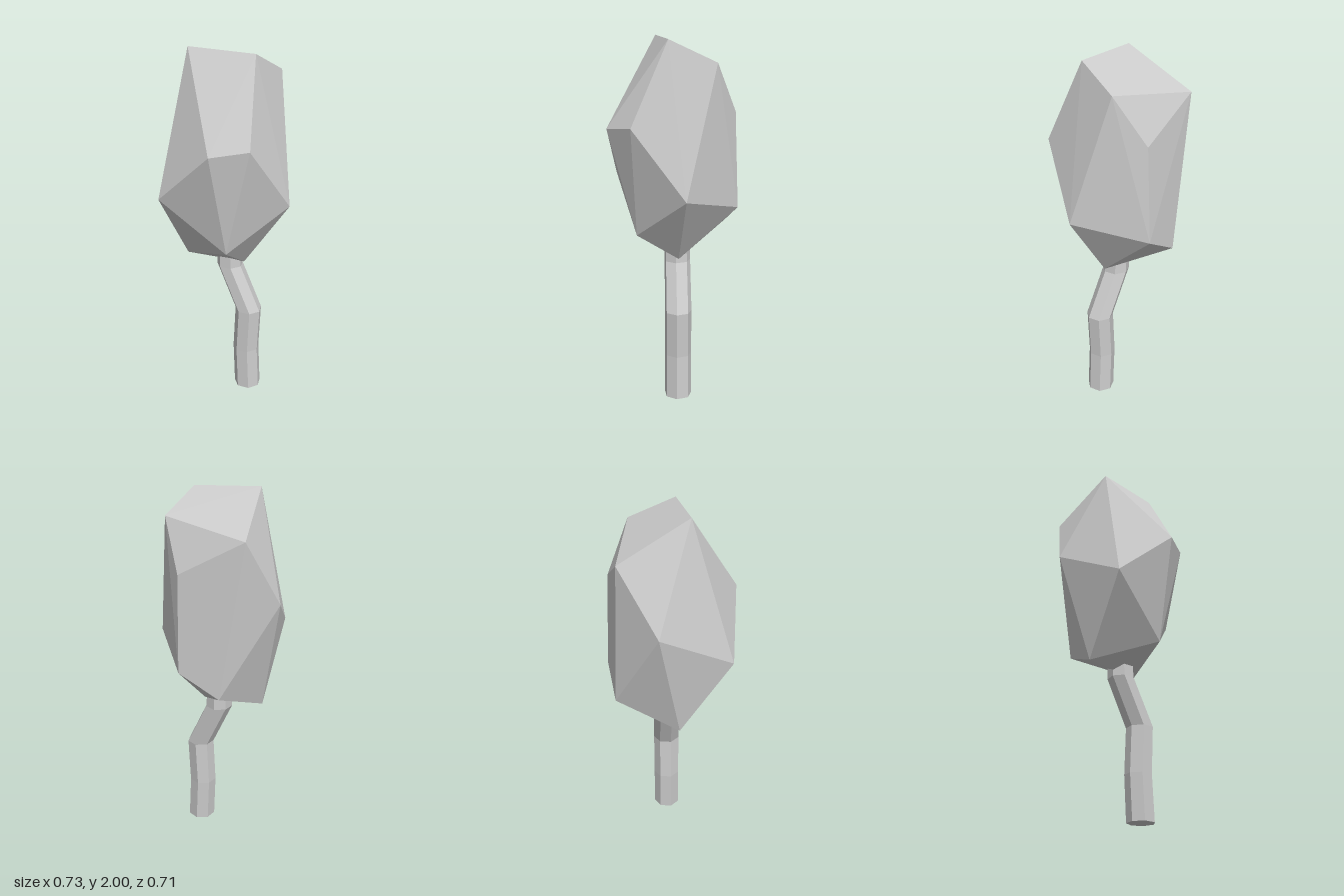
import * as THREE from 'three';
import { ConvexGeometry } from 'three/addons/geometries/ConvexGeometry.js';

const material = new THREE.MeshStandardMaterial({ color: 0xcccccc, flatShading: true });

// Faceted crown: the hull of a handful of irregular corner points
function makeCrown() {
  const corners = [
    // top
    [-0.17, 2.0, 0.087], [0.192, 1.985, 0.03], [0.217, 1.87, -0.22], [-0.268, 1.805, -0.278],
    // middle
    [0.082, 1.61, -0.332], [0.27, 1.545, 0.225], [0.105, 1.525, 0.353],
    [-0.369, 1.45, -0.078], [-0.226, 1.23, 0.315], [0.365, 1.18, -0.056],
    // bottom
    [0.077, 1.085, -0.355], [-0.14, 0.96, -0.312], [0.12, 0.942, 0.2],
    [-0.226, 0.808, 0.035], [0.107, 0.8, -0.03],
  ].map((p) => new THREE.Vector3(...p));
  const crown = new THREE.Mesh(new ConvexGeometry(corners), material);
  crown.name = 'crown';
  return crown;
}

// Crooked seven-sided trunk: a cylinder whose rings are shifted along a bent path
function makeTrunk() {
  const path = [ // x, y, radius, from the ground up
    [0.142, 0, 0.077], [0.13, 0.25, 0.076], [0.142, 0.51, 0.076],
    [0.018, 0.77, 0.075], [0.012, 0.95, 0.07],
  ];
  const steps = path.length - 1;
  const start = THREE.MathUtils.degToRad(83);
  let geometry = new THREE.CylinderGeometry(1, 1, 1, 7, steps, false, start);
  const pos = geometry.attributes.position;
  for (let i = 0; i < pos.count; i++) {
    const [x, y, r] = path[Math.round((pos.getY(i) + 0.5) * steps)];
    pos.setXYZ(i, x + pos.getX(i) * r, y, -0.025 + pos.getZ(i) * r);
  }
  geometry = geometry.toNonIndexed();
  geometry.computeVertexNormals();
  const trunk = new THREE.Mesh(geometry, material);
  trunk.name = 'trunk';
  return trunk;
}

export function createModel() {
  const tree = new THREE.Group();
  tree.name = 'tree';
  tree.add(makeTrunk(), makeCrown());
  return tree;
}
